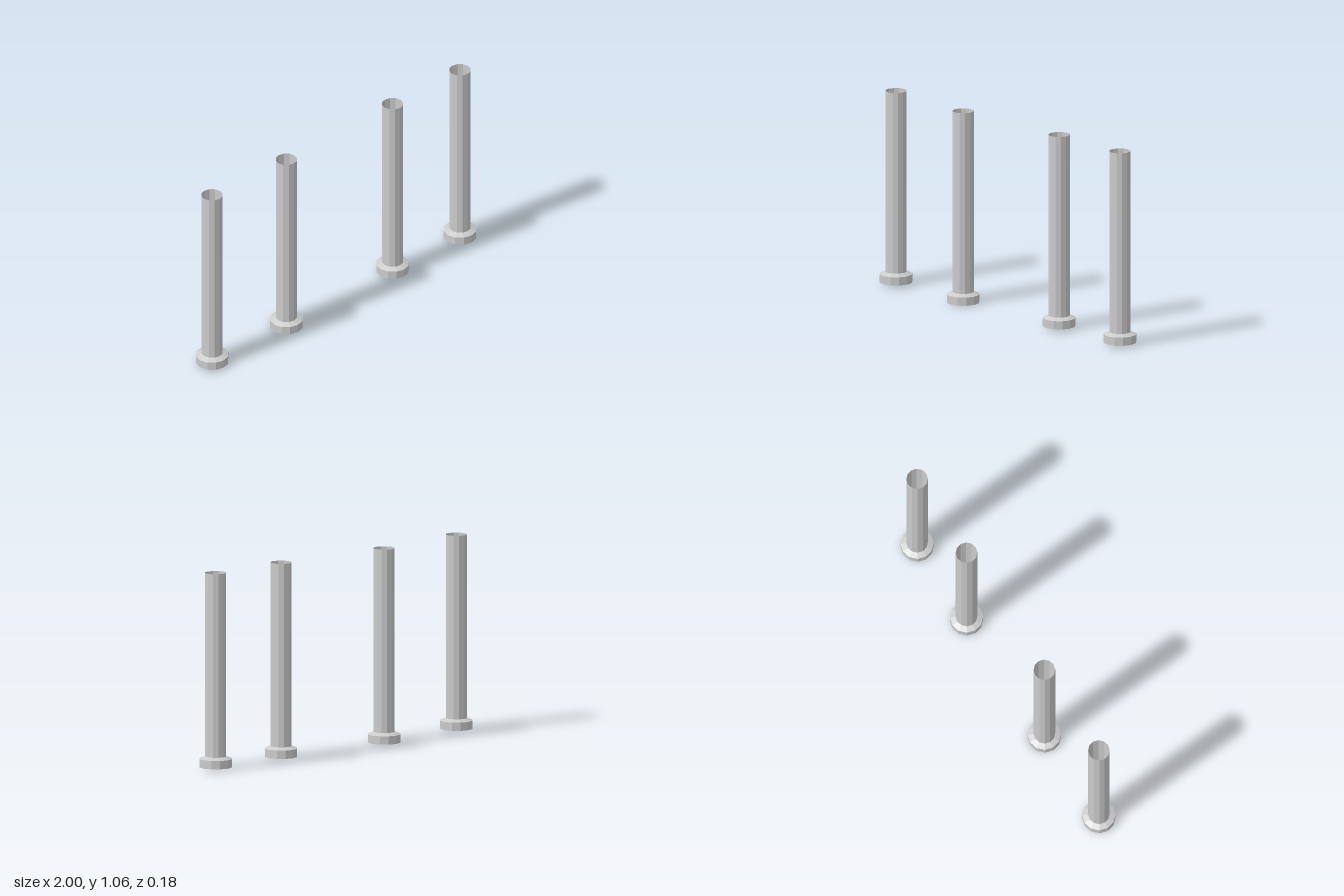
import * as THREE from 'three';

// Four hollow twelve-sided posts in a row, each on a flared foot
export function createModel() {
  const model = new THREE.Group();
  model.name = 'posts';
  const material = new THREE.MeshStandardMaterial({
    color: 0xcccccc, flatShading: true, side: THREE.DoubleSide,
  });
  const SIDES = 12;
  const lathe = (profile) => new THREE.LatheGeometry(
    profile.map(([r, y]) => new THREE.Vector2(r, y)), SIDES);

  // Foot: open underside rim, upright wall, sloped shoulder
  const footGeometry = lathe([[0.061, 0], [0.089, 0], [0.089, 0.045], [0.058, 0.058]]);
  // Shaft: thin tube, open at the top
  const shaftGeometry = lathe([[0.058, 0.058], [0.058, 1.05]]);

  // [x, base height] of each post; one stands slightly lower
  const posts = [[-0.911, 0.012], [-0.365, 0], [0.416, 0.012], [0.911, 0.012]];
  posts.forEach(([x, y], i) => {
    const post = new THREE.Group();
    post.name = `post${i + 1}`;
    const foot = new THREE.Mesh(footGeometry, material);
    foot.name = 'foot';
    const shaft = new THREE.Mesh(shaftGeometry, material);
    shaft.name = 'shaft';
    post.add(foot, shaft);
    post.position.set(x, y, 0);
    model.add(post);
  });
  return model;
}
